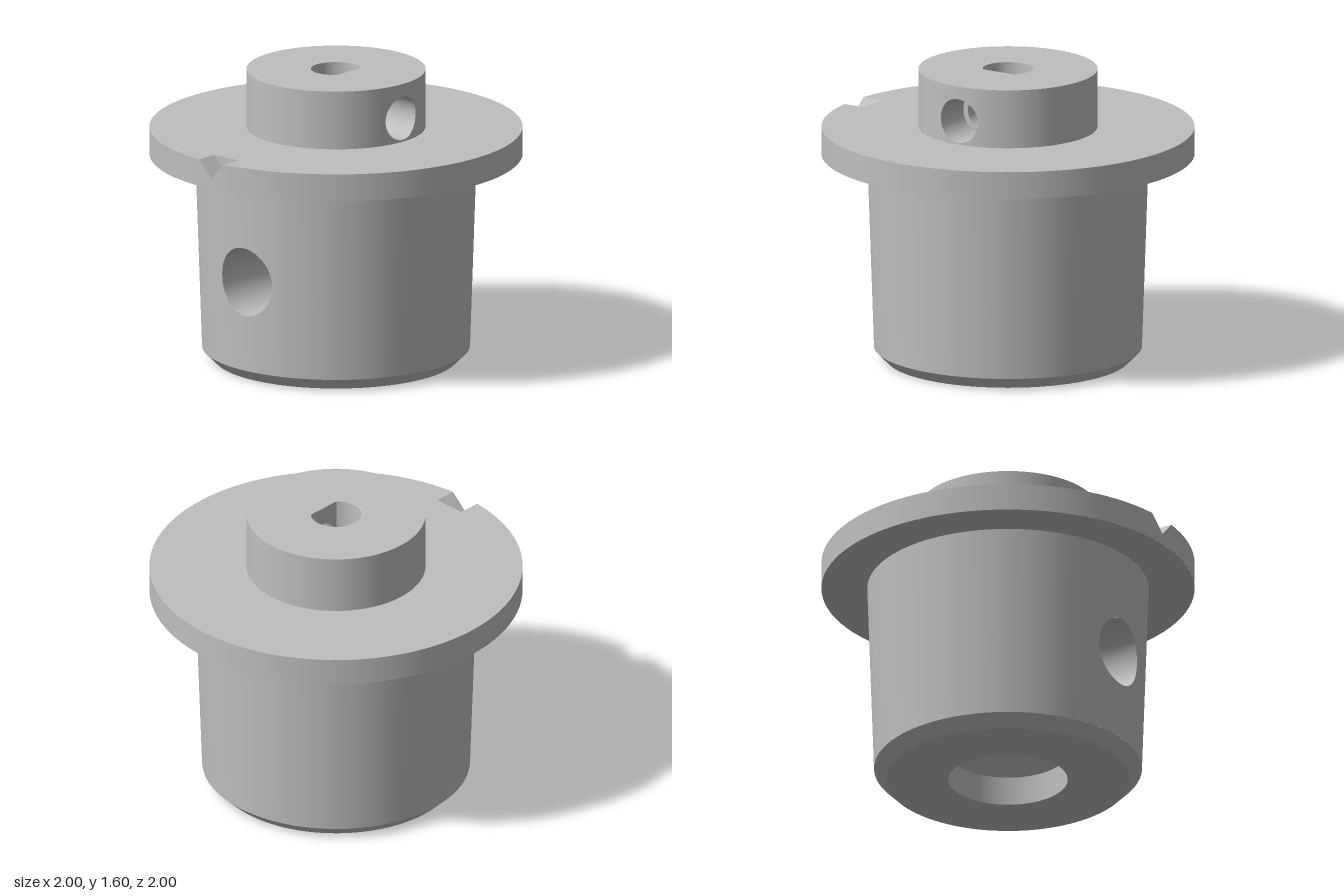
import * as THREE from 'three';
import { ParametricGeometry } from 'three/addons/geometries/ParametricGeometry.js';

const TAU = Math.PI * 2;

export function createModel() {
  const model = new THREE.Group();
  const grey = new THREE.MeshStandardMaterial({ color: 0xbfbfbf });

  function add(name, geometry, parent = model) {
    const mesh = new THREE.Mesh(geometry, grey);
    mesh.name = name;
    parent.add(mesh);
    return mesh;
  }

  const surface = (fn, nu, nv) => new ParametricGeometry(fn, nu, nv);

  // One straight lathe band; going up (or outward underneath) faces out, going down faces in
  const band = (r0, y0, r1, y1, start = 0, length = TAU) => new THREE.LatheGeometry(
    [new THREE.Vector2(r0, y0), new THREE.Vector2(r1, y1)], 96, start, length);

  // Flat face looking up, drawn in (x, -z)
  function face(name, shape, y) {
    const g = new THREE.ShapeGeometry(shape, 96);
    g.rotateX(-Math.PI / 2);
    add(name, g).position.y = y;
  }

  // Round wall pierced at +z by an elliptical hole
  function piercedWall(name, radius, y0, y1, hole, halfAngle, inward = false) {
    const group = new THREE.Group();
    group.name = name;
    const ya = inward ? y1 : y0, yb = inward ? y0 : y1;
    add(name + 'Round', band(radius(ya), ya, radius(yb), yb, halfAngle, TAU - 2 * halfAngle), group);
    add(name + 'AroundHole', surface((u, v, p) => {
      const t = u * TAU, c = Math.cos(t), s = Math.sin(t);
      const m = Math.max(Math.abs(c), Math.abs(s));
      const k = inward ? v : 1 - v;
      const hy = hole.y + hole.ry * s;
      const hPhi = Math.asin(hole.rx * c / radius(hy));
      const y = THREE.MathUtils.lerp(hy, hole.y + s / m * (s > 0 ? y1 - hole.y : hole.y - y0), k);
      const phi = THREE.MathUtils.lerp(hPhi, c / m * halfAngle, k);
      p.set(radius(y) * Math.sin(phi), y, radius(y) * Math.cos(phi));
    }, 96, 8), group);
    model.add(group);
    return group;
  }

  // Inside of a hole along z, running between two depth functions
  const bore = (hole, outer, inner) => surface((u, v, p) => {
    const x = hole.rx * Math.cos(u * TAU), y = hole.y + hole.ry * Math.sin(u * TAU);
    p.set(x, y, THREE.MathUtils.lerp(outer(x, y), inner(x, y), v));
  }, 64, 4);

  const onRound = (radius) => (x, y) => Math.sqrt(Math.max(0, radius(y) ** 2 - x * x));

  // Tapered body with chamfered foot
  const bodyR = (y) => 0.718 + 0.034 * (y - 0.065);
  const frontHole = { y: 0.5625, rx: 0.18, ry: 0.188 };
  piercedWall('body', bodyR, 0.065, 1.13, frontHole, 0.6);
  add('footChamfer', band(0.653, 0, 0.718, 0.065));
  add('footFace', band(0.32, 0, 0.653, 0));

  // Bottom socket, funnel and inner channel
  const channelR = () => 0.19;
  add('socketWall', band(0.32, 0.16, 0.32, 0));
  add('socketFunnel', band(0.19, 0.29, 0.32, 0.16));
  piercedWall('channel', channelR, 0.29, 0.78, frontHole, 1.45, true);
  add('channelCeiling', band(0, 0.78, 0.19, 0.78));
  add('frontHole', bore(frontHole, onRound(bodyR), onRound(channelR)));

  // Flange with a V-shaped pointer notch at the front
  const w = 0.09, notchZ = 0.875, low = 1.13, top = 1.28;
  const b = Math.asin(w);
  add('flangeUnderside', band(bodyR(low), low, 1, low));
  add('flangeRim', band(1, low, 1, top, b, TAU - 2 * b));
  add('flangeRimUnderNotch', surface((u, v, p) => {
    const x = (2 * u - 1) * w;
    p.set(x, THREE.MathUtils.lerp(low, top - w + Math.abs(x), v), Math.sqrt(1 - x * x));
  }, 8, 1));
  for (const side of [-1, 1]) {
    add('notchSlope', surface((u, v, p) => {
      const x = side > 0 ? u * w : (u - 1) * w;
      p.set(x, top - w + Math.abs(x), THREE.MathUtils.lerp(Math.sqrt(1 - x * x), notchZ, v));
    }, 4, 1));
  }
  const notchEnd = new THREE.Shape([
    new THREE.Vector2(-w, top), new THREE.Vector2(0, top - w), new THREE.Vector2(w, top)]);
  add('notchEnd', new THREE.ShapeGeometry(notchEnd)).position.z = notchZ;

  const flangeTop = new THREE.Shape();
  flangeTop.absarc(0, 0, 1, -Math.PI / 2 + b, 1.5 * Math.PI - b, false);
  flangeTop.lineTo(-w, -notchZ);
  flangeTop.lineTo(w, -notchZ);
  flangeTop.holes.push(new THREE.Path().absarc(0, 0, 0.48, 0, TAU, true));
  face('flangeTop', flangeTop, top);

  // Boss with a set screw hole on its left
  const bossR = () => 0.48;
  const screwHole = { y: 1.41, rx: 0.12, ry: 0.12 };
  const screwTip = { y: 1.41, rx: 0.09, ry: 0.09 };
  const flatX = 0.092, shaftR = 0.135, floorY = 0.95, bossTop = 1.6, stepX = 0.25;
  piercedWall('boss', bossR, top, bossTop, screwHole, 0.6).rotation.y = Math.PI / 2;
  add('screwHole', bore(screwHole, onRound(bossR), () => stepX)).rotation.y = Math.PI / 2;
  add('screwTipHole', bore(screwTip, () => stepX, () => flatX)).rotation.y = Math.PI / 2;
  const step = add('screwHoleStep', new THREE.RingGeometry(0.09, 0.12, 64));
  step.position.set(stepX, 1.41, 0);
  step.rotation.y = Math.PI / 2;

  // D-shaped shaft socket
  const a = Math.acos(flatX / shaftR), half = shaftR * Math.sin(a);
  const dPath = (Type) => {
    const d = new Type();
    d.absarc(0, 0, shaftR, a, TAU - a, false);
    d.closePath();
    return d;
  };
  const bossFace = new THREE.Shape().absarc(0, 0, 0.48, 0, TAU, false);
  bossFace.holes.push(dPath(THREE.Path));
  face('bossTop', bossFace, bossTop);
  face('shaftSocketFloor', dPath(THREE.Shape), floorY);
  add('shaftSocketWall', band(shaftR, bossTop, shaftR, floorY, Math.PI / 2 + a, TAU - 2 * a));
  const flat = new THREE.Shape([
    new THREE.Vector2(-half, floorY), new THREE.Vector2(half, floorY),
    new THREE.Vector2(half, bossTop), new THREE.Vector2(-half, bossTop)]);
  flat.holes.push(new THREE.Path().absarc(0, 1.41, 0.09, 0, TAU, true));
  const flatMesh = add('shaftSocketFlat', new THREE.ShapeGeometry(flat, 48));
  flatMesh.position.x = flatX;
  flatMesh.rotation.y = -Math.PI / 2;

  return model;
}
